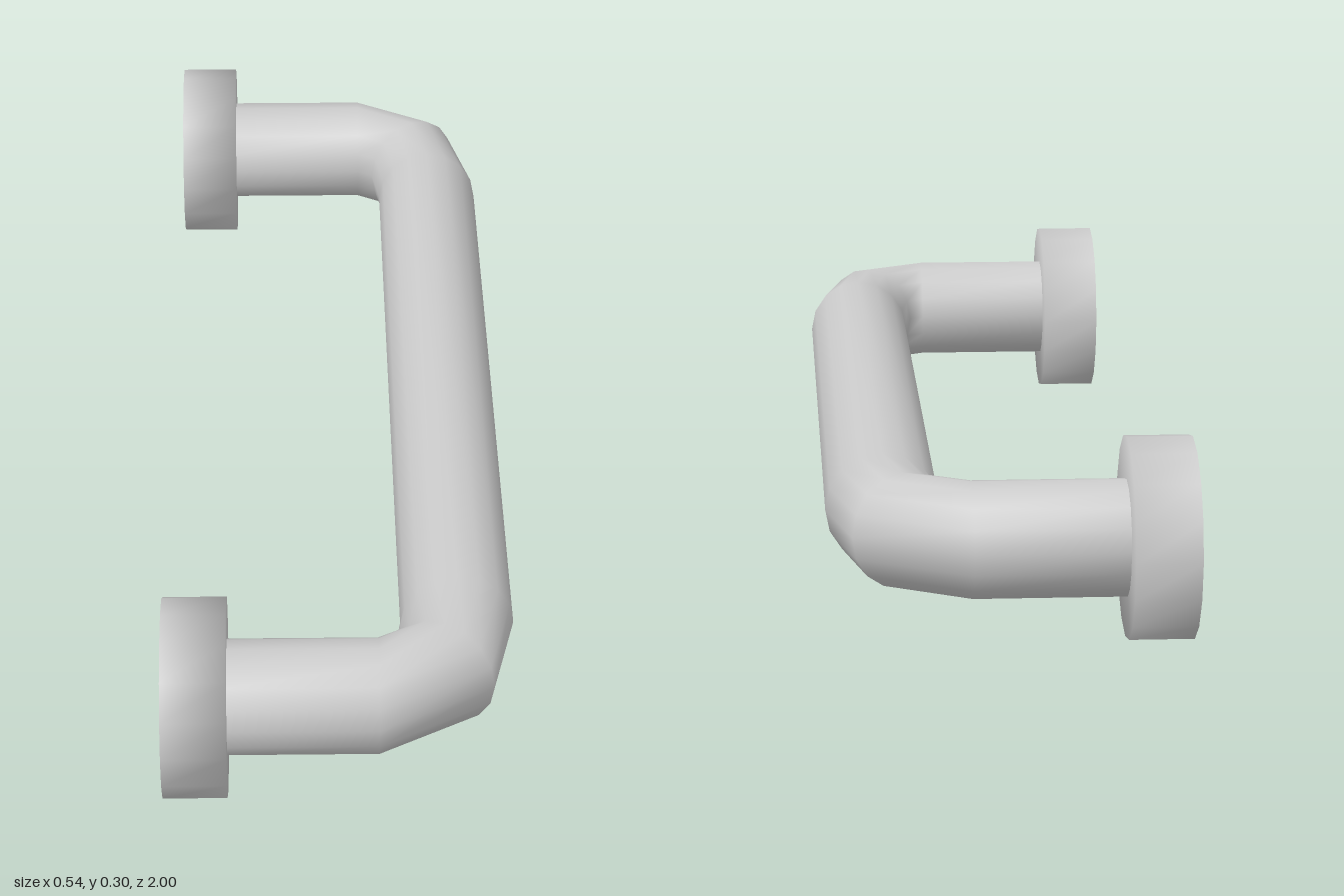
import * as THREE from 'three';

const SIDES = 16;
const MID_Y = 0.152;   // height of the handle's centre line
const END_Z = 0.848;   // distance of each leg from the middle
const material = new THREE.MeshStandardMaterial({ color: 0xcccccc, side: THREE.DoubleSide });

// Bent tube: each ring is given by its inner and outer point in the xz plane
function barGeometry(radius) {
  const half = [
    // inner x, z, outer x, z
    [-0.173, -END_Z + radius, -0.173, -END_Z - radius],
    [0.055, -END_Z + radius, 0.055, -END_Z - radius],
    [0.08, -0.745, 0.23, -0.83],
    [0.092, -0.665, 0.267, -0.665],
  ];
  const mirrored = half.map(([ix, iz, ox, oz]) => [ix, -iz, ox, -oz]).reverse();
  const rings = [...half, ...mirrored];
  const positions = [], indices = [];
  rings.forEach(([ix, iz, ox, oz], k) => {
    for (let i = 0; i < SIDES; i++) {
      const a = (i / SIDES) * Math.PI * 2;
      const t = (1 + Math.cos(a)) / 2;
      positions.push(ix + (ox - ix) * t, MID_Y + radius * Math.sin(a), iz + (oz - iz) * t);
      if (k === rings.length - 1) continue;
      const p = k * SIDES + i, q = k * SIDES + (i + 1) % SIDES;
      indices.push(p, q, p + SIDES, q, q + SIDES, p + SIDES);
    }
  });
  const geometry = new THREE.BufferGeometry();
  geometry.setAttribute('position', new THREE.Float32BufferAttribute(positions, 3));
  geometry.setIndex(indices);
  geometry.computeVertexNormals();
  return geometry;
}

// Mounting cup: closed towards the bar, open at the wall side
function cupGeometry(radius, depth) {
  const profile = [[radius, 0], [radius, depth], [0, depth]].map(([x, y]) => new THREE.Vector2(x, y));
  return new THREE.LatheGeometry(profile, SIDES).rotateZ(-Math.PI / 2);
}

export function createModel() {
  const group = new THREE.Group();
  group.name = 'pullHandle';

  const bar = new THREE.Mesh(barGeometry(0.088), material);
  bar.name = 'gripBar';
  group.add(bar);

  // Mounting cups at both ends
  const cup = cupGeometry(0.152, 0.097);
  for (const side of [-1, 1]) {
    const mesh = new THREE.Mesh(cup, material);
    mesh.name = side < 0 ? 'backMountingCup' : 'frontMountingCup';
    mesh.position.set(-0.27, MID_Y, side * END_Z);
    group.add(mesh);
  }
  return group;
}
